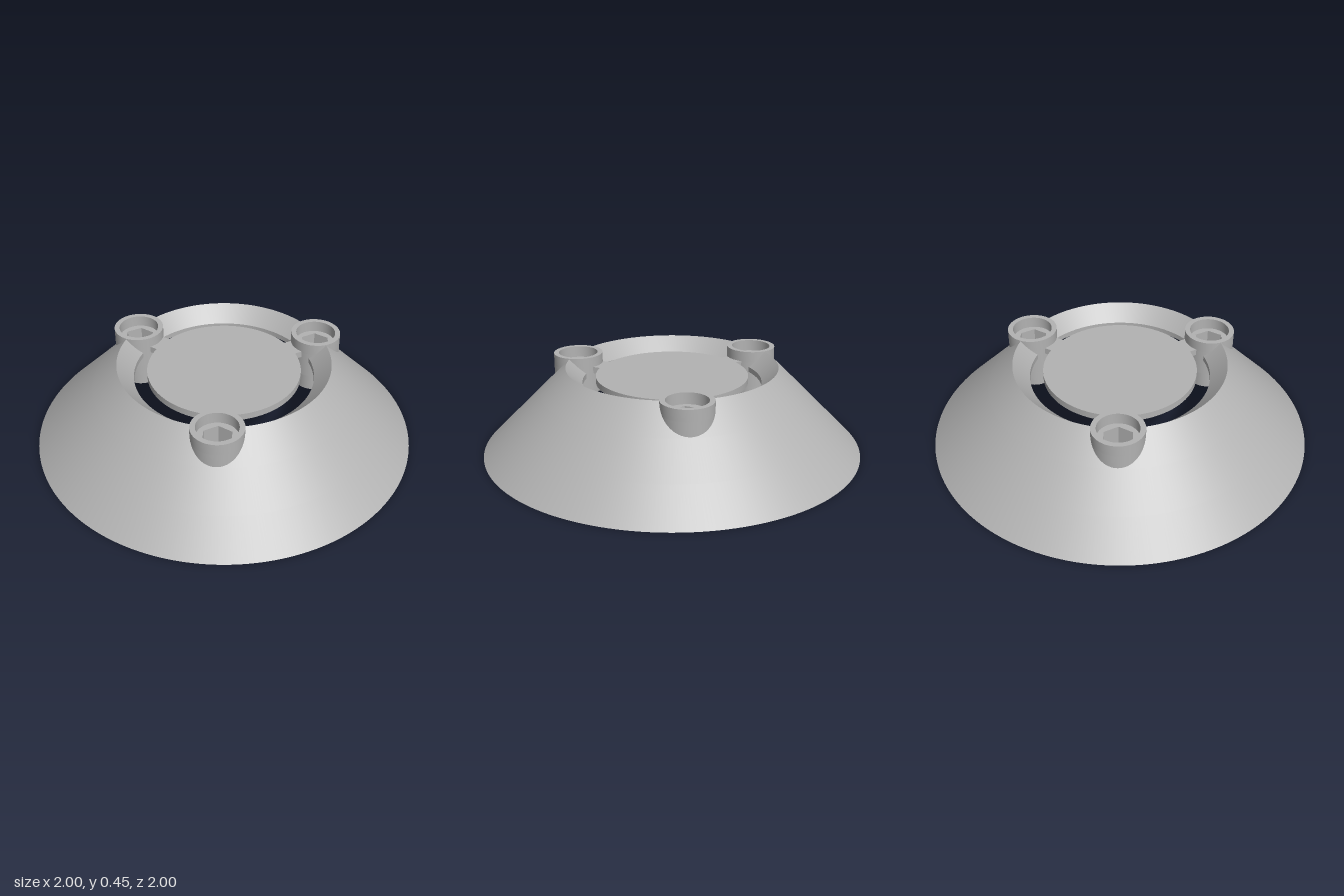
import * as THREE from 'three';
import { mergeGeometries, toCreasedNormals } from 'three/addons/utils/BufferGeometryUtils.js';

const TOP = 0.447, BOSS_R = 0.555;
const BOSS_ANGLES = [0, 1, 2].map(i => (i * Math.PI * 2) / 3);

// Lathe one straight profile line, with fine rows so that bores can be cut
function coneBand([r0, y0], [r1, y1], rows) {
  const pts = [];
  for (let i = 0; i <= rows; i++) {
    const t = i / rows;
    pts.push(new THREE.Vector2(r0 + (r1 - r0) * t, y0 + (y1 - y0) * t));
  }
  return new THREE.LatheGeometry(pts, 360);
}

// Drop the triangles inside the three bosses; the cut edge hides in their walls
function cutBores(geo) {
  const p = geo.attributes.position, idx = geo.index.array, kept = [];
  for (let i = 0; i < idx.length; i += 3) {
    const tri = [idx[i], idx[i + 1], idx[i + 2]];
    const x = tri.reduce((s, k) => s + p.getX(k), 0) / 3;
    const z = tri.reduce((s, k) => s + p.getZ(k), 0) / 3;
    const inside = BOSS_ANGLES.some(a =>
      Math.hypot(x - BOSS_R * Math.cos(a), z - BOSS_R * Math.sin(a)) < 0.118);
    if (!inside) kept.push(...tri);
  }
  geo.setIndex(kept);
  return geo;
}

// Upright cylinder from y0 to y1 with a round or hexagonal through hole
function pierced(radius, holeRadius, holeSides, y0, y1) {
  const shape = new THREE.Shape().absarc(0, 0, radius, 0, Math.PI * 2);
  const hole = [];
  for (let i = 0; i < holeSides; i++) {
    const a = (-i / holeSides) * Math.PI * 2;
    hole.push(new THREE.Vector2(holeRadius * Math.cos(a), holeRadius * Math.sin(a)));
  }
  shape.holes.push(new THREE.Path(hole));
  const geo = new THREE.ExtrudeGeometry(shape, { depth: y1 - y0, bevelEnabled: false, curveSegments: 28 });
  geo.rotateX(-Math.PI / 2).translate(0, y0, 0);
  return toCreasedNormals(geo, 0.5);
}

export function createModel() {
  const group = new THREE.Group();
  const grey = new THREE.MeshStandardMaterial({ color: 0xb2b2b2 });
  grey.name = 'plain grey';
  const add = (parent, name, geo) => {
    const mesh = new THREE.Mesh(geo, grey);
    mesh.name = name;
    parent.add(mesh);
    return mesh;
  };

  // Thin conical skirt whose top edge folds inward and down into a lip
  const profile = [
    [0.956, 0], [1, 0], [0.69, 0.313], [BOSS_R, TOP], [0.47, 0.365],
    [0.47, 0.337], [0.547, 0.411], [0.69, 0.267], [0.956, 0],
  ];
  const rows = [1, 2, 14, 9, 3, 8, 15, 2];
  const bands = rows.map((n, i) => coneBand(profile[i], profile[i + 1], n));
  add(group, 'conicalSkirt', cutBores(mergeGeometries(bands)));

  // Central plate
  const plate = new THREE.CylinderGeometry(0.4, 0.4, 0.035, 96);
  plate.translate(0, 0.3775, 0);
  add(group, 'centrePlate', plate);

  // Three bosses, each with a recessed hex bore and an arm to the plate
  const sleeve = pierced(0.132, 0.08, 6, 0.25, 0.39);
  const rim = pierced(0.132, 0.105, 56, 0.39, 0.45);
  const collar = pierced(0.1, 0.08, 6, 0.14, 0.25);
  const arm = new THREE.BoxGeometry(0.07, 0.035, 0.115).translate(-0.15, 0.3775, 0);
  for (const a of BOSS_ANGLES) {
    const boss = new THREE.Group();
    boss.name = 'screwBoss';
    boss.position.set(BOSS_R * Math.cos(a), 0, BOSS_R * Math.sin(a));
    boss.rotation.y = -a;
    add(boss, 'bossSleeve', sleeve);
    add(boss, 'bossRim', rim);
    add(boss, 'bossCollar', collar);
    add(boss, 'plateArm', arm);
    group.add(boss);
  }
  return group;
}
